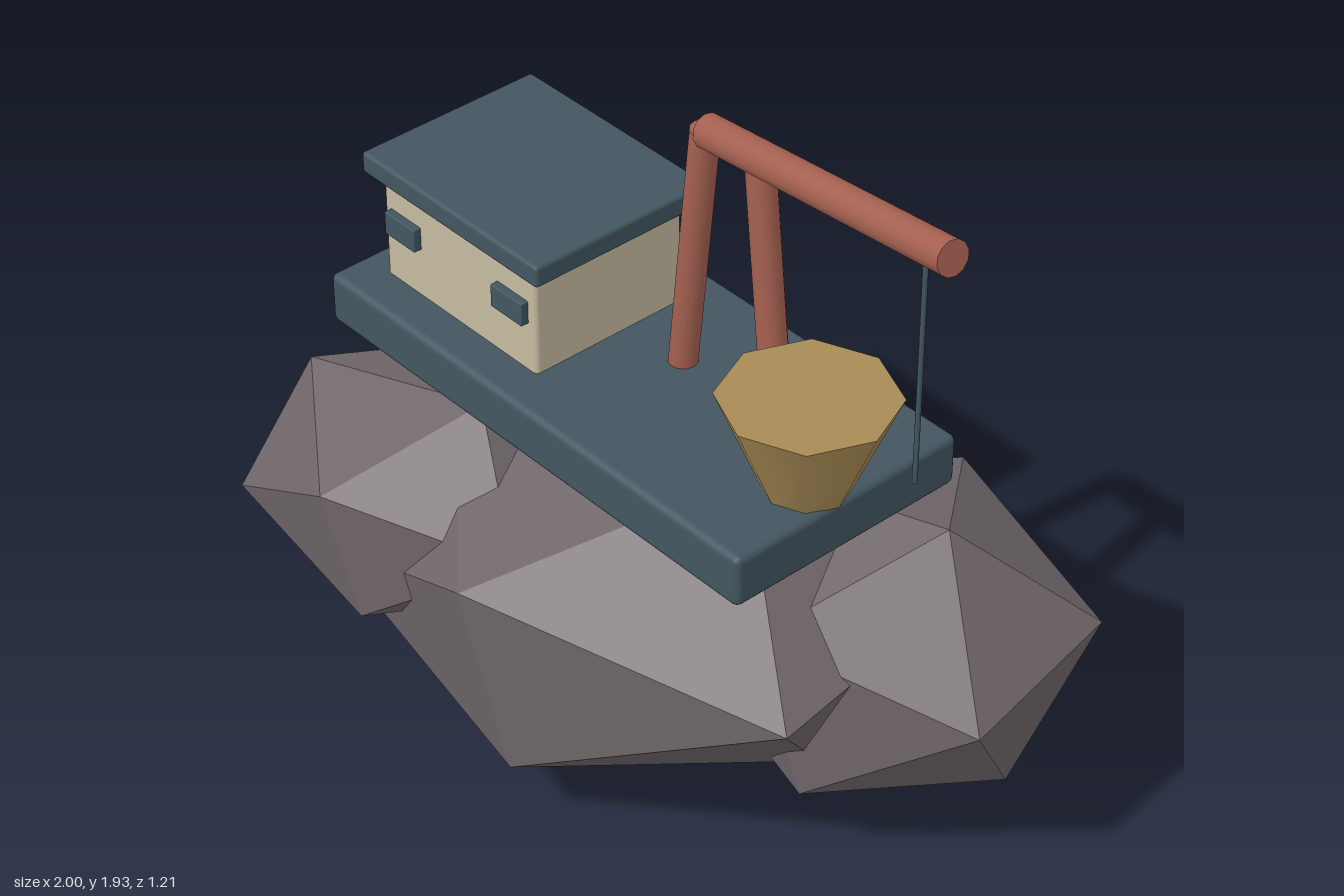
import * as THREE from 'three';
import { RoundedBoxGeometry } from 'three/addons/geometries/RoundedBoxGeometry.js';
import { ConvexGeometry } from 'three/addons/geometries/ConvexGeometry.js';

const flat = (name, color, flatShading = false) => {
  const m = new THREE.MeshStandardMaterial({ color, flatShading });
  m.name = name;
  return m;
};

export function createModel() {
  const stone = flat('stone', 0x70676a, true);
  const slate = flat('slateBlue', 0x435660);
  const plaster = flat('creamPlaster', 0xc6bba1);
  const rust = flat('rustRed', 0xa46050);
  const brass = flat('brass', 0xa88b54);

  const model = new THREE.Group();
  model.name = 'craneOutpost';
  const add = (name, geometry, material) => {
    const mesh = new THREE.Mesh(geometry, material);
    mesh.name = name;
    model.add(mesh);
    return mesh;
  };

  // Boulder: a skewed icosahedron, six corners plus their opposites through the centre
  const rock = (name, centre, corners) => {
    const c = new THREE.Vector3(...centre);
    const half = corners.map((p) => new THREE.Vector3(...p));
    const opposite = half.map((p) => c.clone().multiplyScalar(2).sub(p));
    add(name, new ConvexGeometry([...half, ...opposite]), stone);
  };

  // Box given by its minimum and maximum corners
  const box = (name, min, max, radius, material) => {
    const size = max.map((v, i) => v - min[i]);
    const mesh = add(name, new RoundedBoxGeometry(...size, 2, radius), material);
    mesh.position.set(...max.map((v, i) => (v + min[i]) / 2));
  };

  // Round bar between two points
  const bar = (name, from, to, radius, material, sides = 12) => {
    const a = new THREE.Vector3(...from);
    const b = new THREE.Vector3(...to);
    const mesh = add(name, new THREE.CylinderGeometry(radius, radius, a.distanceTo(b), sides), material);
    mesh.position.copy(a).lerp(b, 0.5);
    mesh.quaternion.setFromUnitVectors(new THREE.Vector3(0, 1, 0), b.sub(a).normalize());
  };

  // Floating rock base
  rock('mainRock', [-0.03, 0.494, 0.04], [
    [0.35, 0.983, 0.05], [-0.03, 0.7, 0.57], [0.75, 0.63, 0.295],
    [0.69, 0.678, -0.326], [-0.13, 0.778, -0.435], [-0.575, 0.79, 0.118],
  ]);
  rock('rightRock', [0.53, 0.525, -0.21], [
    [0.73, 0.93, -0.2], [1.0, 0.59, -0.045], [0.94, 0.635, -0.49],
    [0.44, 0.78, -0.545], [0.19, 0.815, -0.135], [0.53, 0.71, 0.185],
  ]);
  rock('leftRock', [-0.53, 0.574, 0.262], [
    [-0.91, 0.46, 0.53], [-1.0, 0.495, 0.14], [-0.85, 0.787, 0.344],
    [-0.49, 0.715, 0.6], [-0.42, 0.375, 0.555], [-0.74, 0.245, 0.27],
  ]);

  // Deck and cabin
  box('deck', [-0.725, 0.975, -0.285], [0.66, 1.108, 0.365], 0.018, slate);
  box('cabin', [-0.642, 1.09, -0.17], [-0.112, 1.39, 0.26], 0.012, plaster);
  box('roof', [-0.68, 1.376, -0.21], [-0.07, 1.432, 0.29], 0.01, slate);
  for (const x of [-0.565, -0.19]) {
    box('window', [x - 0.053, 1.235, 0.25], [x + 0.053, 1.295, 0.28], 0.003, slate);
  }

  // Crane
  bar('craneLeg', [0.06, 1.09, -0.02], [0.128, 1.755, -0.02], 0.035, rust);
  bar('craneLeg', [0.372, 1.09, -0.02], [0.3, 1.755, -0.02], 0.035, rust);
  bar('boom', [0.137, 1.755, -0.02], [0.946, 1.895, 0.068], 0.041, rust);
  bar('cable', [0.868, 1.88, 0.062], [0.868, 1.285, 0.062], 0.006, slate, 8);

  // Ore hopper standing on the deck
  const hopper = add('hopper', new THREE.CylinderGeometry(0.204, 0.1, 0.24, 8), brass);
  hopper.position.set(0.565, 1.222, 0.077);

  return model;
}
